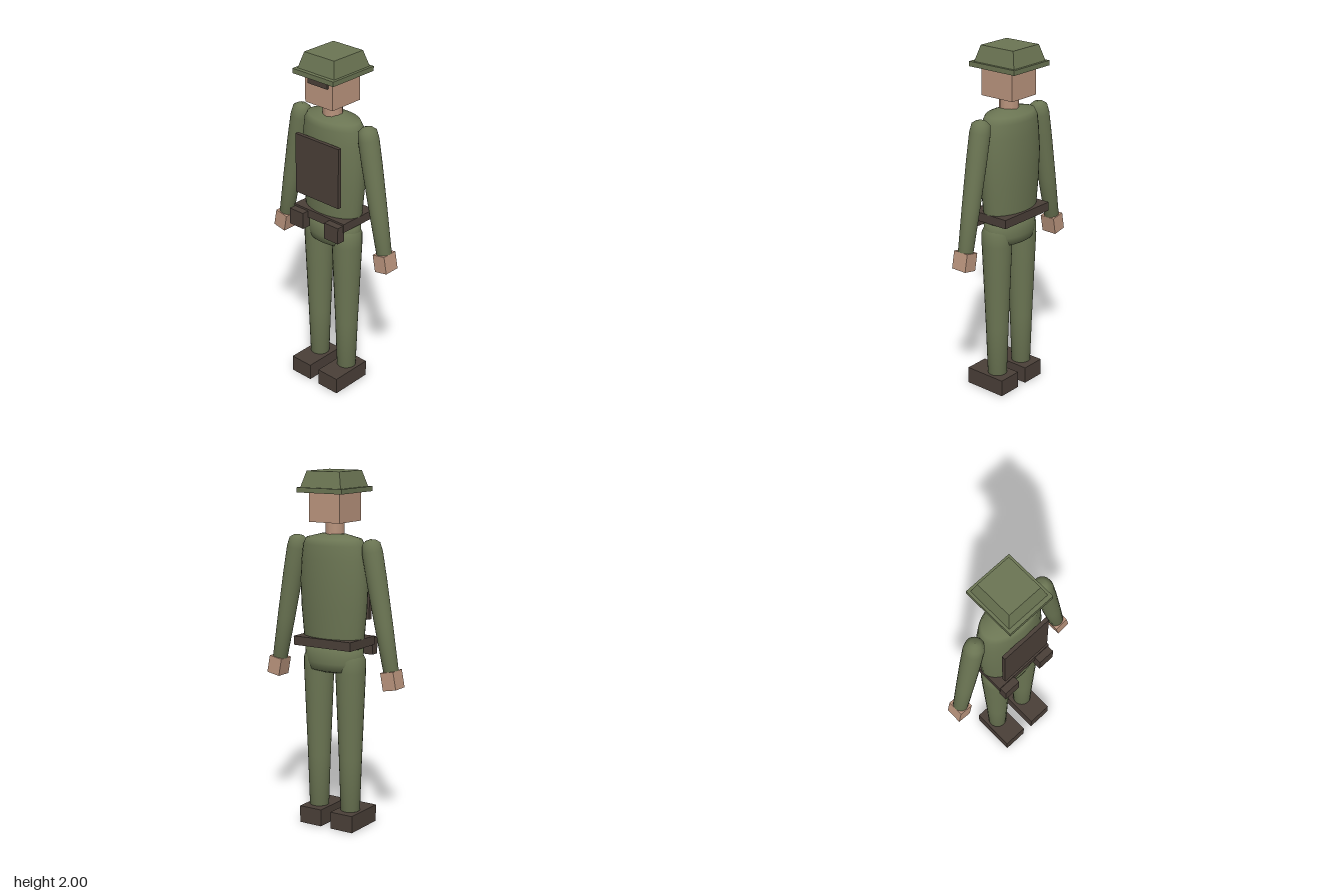
import * as THREE from 'three';
import { toCreasedNormals } from 'three/addons/utils/BufferGeometryUtils.js';

const material = (name, color) => {
  const m = new THREE.MeshStandardMaterial({ color });
  m.name = name;
  return m;
};

export function createModel() {
  const model = new THREE.Group();
  const green = material('olive cloth', 0x6b7553);
  const skin = material('skin', 0xbb957e);
  const brown = material('dark leather', 0x4a3f38);

  const add = (name, geometry, mat, x, y, z, parent = model) => {
    const mesh = new THREE.Mesh(geometry, mat);
    mesh.name = name;
    mesh.position.set(x, y, z);
    parent.add(mesh);
    return mesh;
  };
  const box = (name, mat, [w, h, d], [x, y, z], parent) =>
    add(name, new THREE.BoxGeometry(w, h, d), mat, x, y, z, parent);
  // Profile of [radius, height] pairs, listed from bottom to top
  const lathe = (profile, sides = 24) =>
    new THREE.LatheGeometry(profile.map(([r, y]) => new THREE.Vector2(r, y)), sides);

  // Torso and pelvis, flattened front to back
  const torso = add('torso', lathe([
    [0, 1.03], [0.18, 1.03], [0.188, 1.1], [0.202, 1.25], [0.208, 1.4], [0.2, 1.52],
    [0.19, 1.6], [0.17, 1.635], [0.07, 1.66], [0, 1.662],
  ], 32), green, 0, 0, -0.008);
  torso.scale.z = 0.59;
  const pelvis = add('pelvis', lathe([
    [0, 0.888], [0.1, 0.892], [0.165, 0.907], [0.178, 0.95], [0.182, 1.06], [0, 1.06],
  ], 32), green, 0, 0, -0.006);
  pelvis.scale.z = 0.61;

  // Neck, head and eyewear
  add('neck', new THREE.CylinderGeometry(0.055, 0.055, 0.1, 10), skin, 0, 1.69, 0);
  box('head', skin, [0.196, 0.165, 0.214], [0, 1.807, 0.002]);
  box('eyewear', brown, [0.14, 0.03, 0.014], [0, 1.855, 0.114]);

  // Hat: flat brim and tapered square crown
  box('hatBrim', green, [0.29, 0.027, 0.312], [0, 1.898, -0.002]);
  const crown = new THREE.CylinderGeometry(0.105 * Math.SQRT2, 0.13 * Math.SQRT2, 0.09, 4)
    .rotateY(Math.PI / 4);
  add('hatCrown', toCreasedNormals(crown, 0.3), green, 0, 1.955, -0.006).scale.z = 1.06;

  // Chest plate and belt
  box('chestPlate', brown, [0.314, 0.35, 0.022], [0, 1.355, 0.117]);
  box('belt', brown, [0.372, 0.05, 0.248], [0, 1.066, -0.009]);

  for (const side of [-1, 1]) {
    const label = side > 0 ? 'left' : 'right';

    // Leg, shoe and belt pouch
    add(label + 'Leg', lathe([
      [0, 0.1], [0.055, 0.1], [0.065, 0.4], [0.077, 0.7], [0.085, 0.9], [0.084, 0.97],
      [0.06, 1.02], [0, 1.035],
    ]), green, side * 0.105, 0, -0.002);
    box(label + 'Shoe', brown, [0.143, 0.097, 0.255], [side * 0.104, 0.0485, 0.032]);
    box(label + 'Pouch', brown, [0.1, 0.096, 0.05], [side * 0.13, 1.032, 0.131]);

    // Arm swung outward, with its hand
    const arm = new THREE.Group();
    arm.name = label + 'Arm';
    arm.position.set(side * 0.237, 1.62, -0.009);
    arm.rotation.z = side * 0.19;
    model.add(arm);
    add(label + 'Sleeve', lathe([
      [0, -0.7], [0.042, -0.7], [0.05, -0.45], [0.056, -0.2], [0.057, -0.05],
      [0.05, -0.002], [0.028, 0.016], [0, 0.022],
    ]), green, 0, 0, 0, arm);
    box(label + 'Hand', skin, [0.082, 0.1, 0.094], [0, -0.748, 0], arm);
  }
  return model;
}
